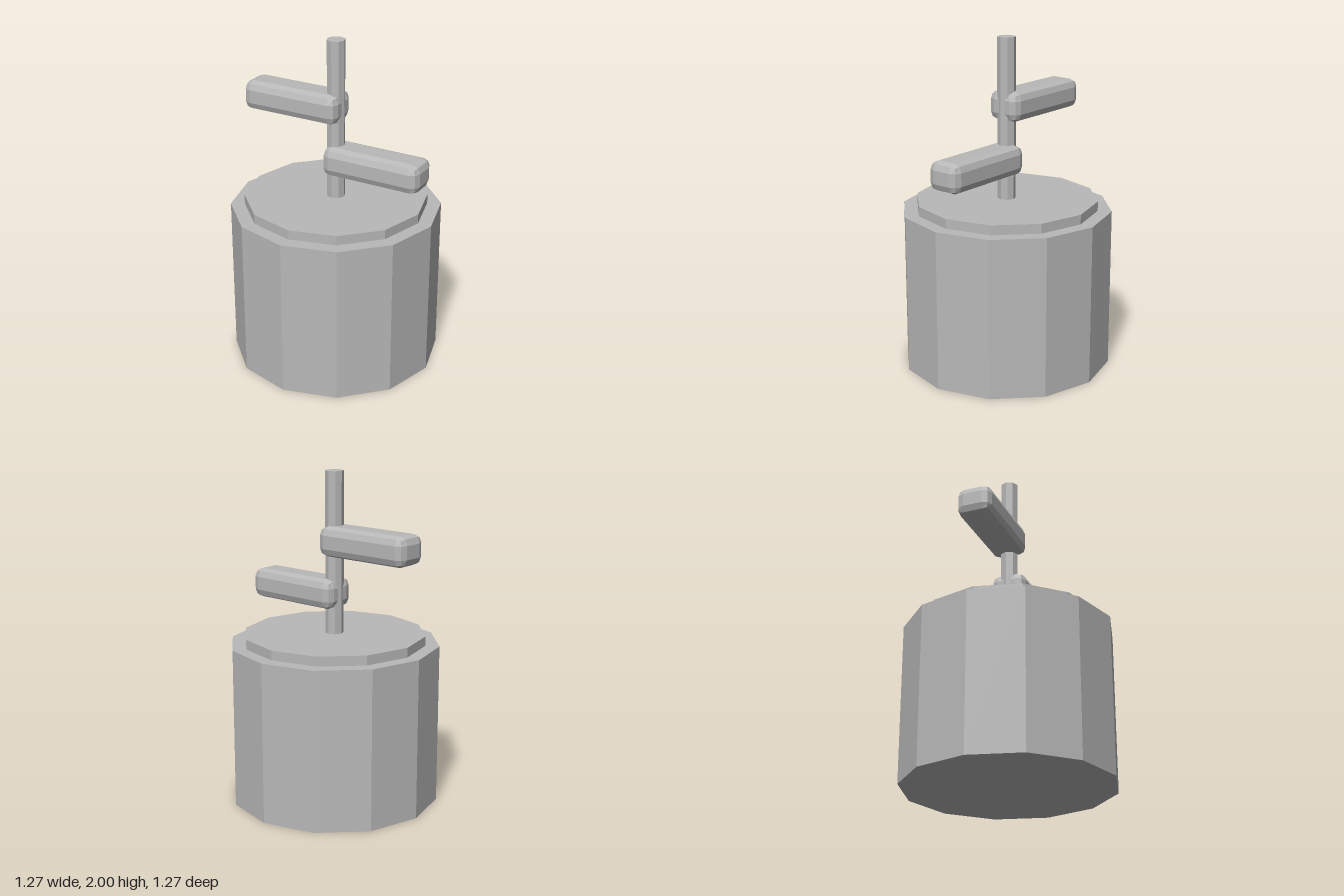
import * as THREE from 'three';
import { RoundedBoxGeometry } from 'three/addons/geometries/RoundedBoxGeometry.js';

export function createModel() {
  const group = new THREE.Group();
  const grey = new THREE.MeshStandardMaterial({ color: 0xb8b8b8, flatShading: true });
  grey.name = 'plain grey';

  const add = (name, geometry, x, y) => {
    const mesh = new THREE.Mesh(geometry, grey);
    mesh.name = name;
    mesh.position.set(x, y, 0);
    group.add(mesh);
  };
  // Upright prism between two heights
  const prism = (name, radius, sides, bottom, top) =>
    add(name, new THREE.CylinderGeometry(radius, radius, top - bottom, sides), 0, (bottom + top) / 2);

  prism('base', 0.634, 12, 0, 0.97);
  prism('lid', 0.55, 12, 0.97, 1.028);
  prism('post', 0.055, 8, 1.02, 2);

  // Chamfered arms, one to each side of the post
  const arm = new RoundedBoxGeometry(0.627, 0.18, 0.214, 1, 0.05);
  add('upperRightArm', arm, -0.267, 1.59);
  add('lowerLeftArm', arm, 0.267, 1.27);

  return group;
}
